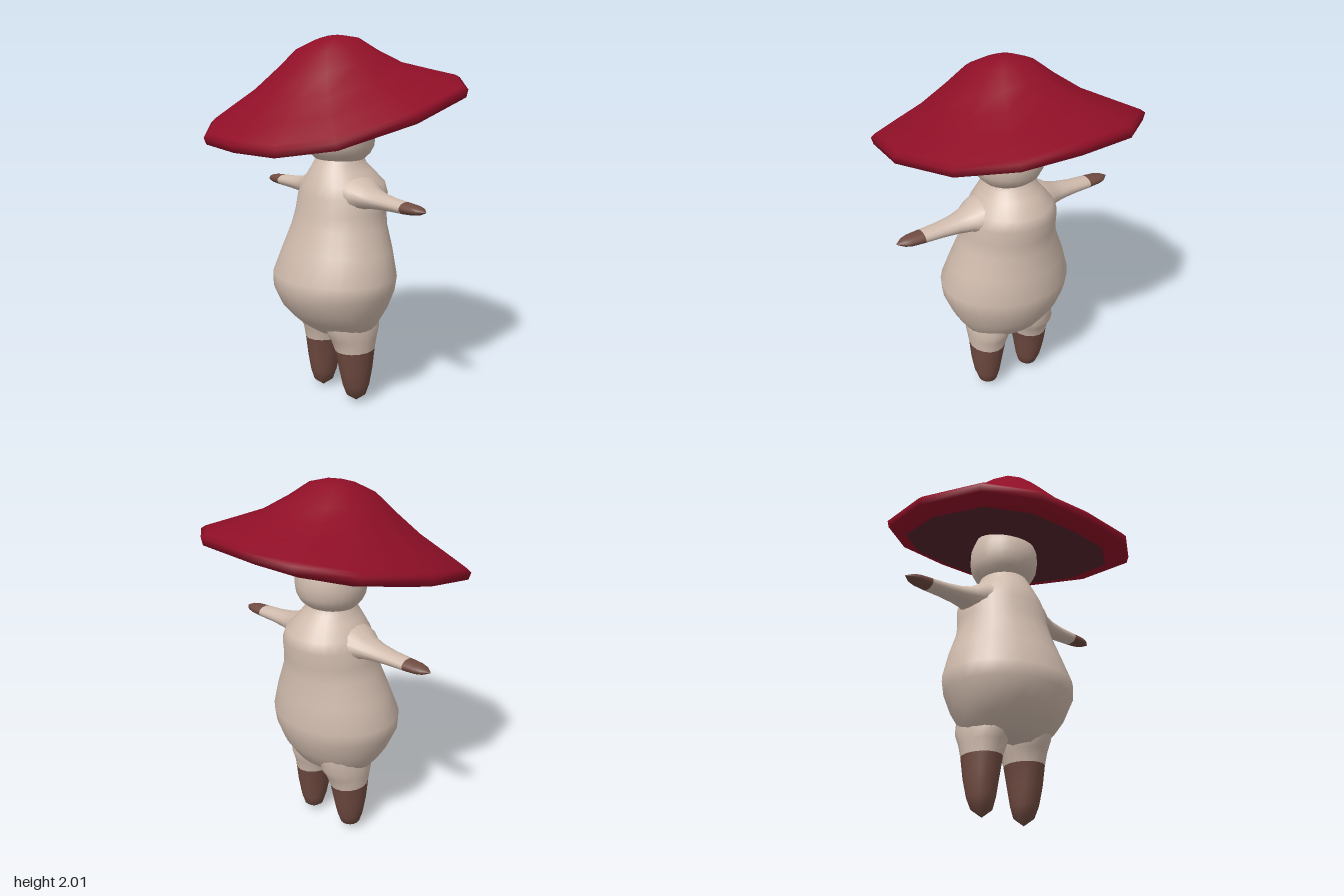
import * as THREE from 'three';

const skin = new THREE.MeshStandardMaterial({ color: 0xd0bbad });
skin.name = 'pale skin';
const brown = new THREE.MeshStandardMaterial({ color: 0x704b41 });
brown.name = 'brown tips';
const red = new THREE.MeshStandardMaterial({ color: 0x900f27 });
red.name = 'cap red';
const dark = new THREE.MeshStandardMaterial({ color: 0x54242c });
dark.name = 'cap underside';

// Joins rings of points, listed from bottom to top, into a smooth skin.
function loft(rings) {
  const n = rings[0].length, index = [];
  for (let i = 0; i < rings.length - 1; i++) {
    for (let j = 0; j < n; j++) {
      const k = (j + 1) % n, a = i * n, b = a + n;
      index.push(a + j, b + j, a + k, a + k, b + j, b + k);
    }
  }
  const g = new THREE.BufferGeometry();
  g.setAttribute('position', new THREE.Float32BufferAttribute(rings.flat(2), 3));
  g.setIndex(index);
  g.computeVertexNormals();
  return g;
}

// Elliptical rings from sections [y, centre x, radius x, centre z, radius z].
function ellipses(sections, n = 24) {
  return sections.map(([y, cx, rx, cz, rz]) =>
    Array.from({ length: n }, (_, j) => {
      const a = (j / n) * Math.PI * 2;
      return [cx + rx * Math.cos(a), y, cz + rz * Math.sin(a)];
    }));
}

function part(name, geometry, material) {
  const m = new THREE.Mesh(geometry, material);
  m.name = name;
  return m;
}

// A limb whose first rows are brown and the rest skin.
function limb(sections, brownRows) {
  const n = 16, g = loft(ellipses(sections, n));
  g.addGroup(0, brownRows * n * 6, 0);
  g.addGroup(brownRows * n * 6, (sections.length - 1 - brownRows) * n * 6, 1);
  return g;
}

export function createModel() {
  const model = new THREE.Group();
  model.name = 'mushroomCreature';

  // Torso: [y, min x, max x, half depth]
  const outline = [
    [0.39, -0.02, 0.06, 0.06], [0.4, -0.11, 0.15, 0.19], [0.44, -0.17, 0.2, 0.25],
    [0.49, -0.225, 0.235, 0.285], [0.55, -0.28, 0.275, 0.32], [0.65, -0.327, 0.312, 0.36],
    [0.73, -0.325, 0.322, 0.37], [0.87, -0.272, 0.306, 0.325], [1.0, -0.225, 0.287, 0.272],
    [1.08, -0.203, 0.29, 0.255], [1.17, -0.185, 0.3, 0.25], [1.23, -0.168, 0.29, 0.222],
    [1.3, -0.135, 0.222, 0.165], [1.34, -0.11, 0.18, 0.14], [1.37, -0.092, 0.165, 0.13],
  ];
  model.add(part('body', loft(ellipses(outline.map(
    ([y, a, b, d]) => [y, (a + b) / 2, (b - a) / 2, 0, d]), 28)), skin));

  // Head
  const headRows = [
    [1.35, 0.12, 0.125], [1.365, 0.135, 0.14], [1.39, 0.165, 0.165], [1.43, 0.187, 0.184],
    [1.48, 0.193, 0.191], [1.54, 0.19, 0.188], [1.59, 0.168, 0.172], [1.63, 0.14, 0.155],
    [1.68, 0.11, 0.12], [1.69, 0.001, 0.001],
  ];
  model.add(part('head', loft(ellipses(headRows.map(
    ([y, rx, rz]) => [y, 0.035, rx, 0, rz]))), skin));

  // Legs with brown feet, and arms with brown hands
  const legGeo = limb([
    [0, 0.005, 0.001, 0.143, 0.001], [0.04, 0.003, 0.056, 0.143, 0.054],
    [0.1, 0, 0.078, 0.145, 0.072], [0.2, -0.003, 0.099, 0.145, 0.088],
    [0.31, -0.005, 0.118, 0.14, 0.101], [0.38, -0.008, 0.138, 0.132, 0.117],
    [0.44, -0.015, 0.17, 0.128, 0.124], [0.52, -0.02, 0.17, 0.12, 0.12],
  ], 4);
  // Arm runs from the tip inwards, then is turned to point along z.
  const armGeo = limb([
    [-0.664, 0, 0.001, 0, 0.001], [-0.625, 0, 0.034, 0, 0.019],
    [-0.59, 0, 0.045, 0, 0.026], [-0.52, 0, 0.05, 0, 0.031],
    [-0.42, 0, 0.055, 0.002, 0.036], [-0.33, 0, 0.067, 0.006, 0.045],
    [-0.26, 0, 0.088, 0.012, 0.058], [-0.21, 0, 0.12, 0.018, 0.085],
    [-0.15, 0, 0.14, 0.02, 0.1],
  ], 3);
  armGeo.rotateX(-Math.PI / 2);
  for (const [side, turn] of [['front', 0], ['back', Math.PI]]) {
    const leg = part(side + 'Leg', legGeo, [brown, skin]);
    leg.position.x = 0.035;
    leg.rotation.y = turn;
    const arm = part(side + 'Arm', armGeo, [brown, skin]);
    arm.position.set(0.035, 1.168, 0);
    arm.rotation.y = turn;
    model.add(leg, arm);
  }

  // Twelve-sided tilted cap; rows are [height above rim, centre x, scale]
  const quarter = [[0.65, 0], [0.622, 0.312], [0.432, 0.55]];
  const half = [...quarter, [0, 0.63], [-0.432, 0.55], [-0.622, 0.312]];
  const rim = [...half, ...half.map(([x, z]) => [-x, -z])];
  const capRings = rows => rows.map(([h, cx, s]) => rim.map(([x, z]) => {
    const px = cx + s * x;
    return [px, 1.6375 + 0.235 * px + h, s * z];
  }));
  model.add(part('capUnderside', loft(capRings([
    [-0.035, 0, 0.002], [-0.045, 0.01, 0.4], [-0.067, 0.02, 0.825],
  ])), dark));
  model.add(part('capTop', loft(capRings([
    [-0.067, 0.02, 0.825], [-0.039, 0.003, 0.985], [0, 0, 1], [0.02, -0.003, 0.965],
    [0.085, -0.025, 0.78], [0.157, -0.045, 0.575], [0.25, -0.05, 0.39],
    [0.335, -0.05, 0.24], [0.368, -0.045, 0.1], [0.374, -0.045, 0.002],
  ])), red));

  return model;
}
